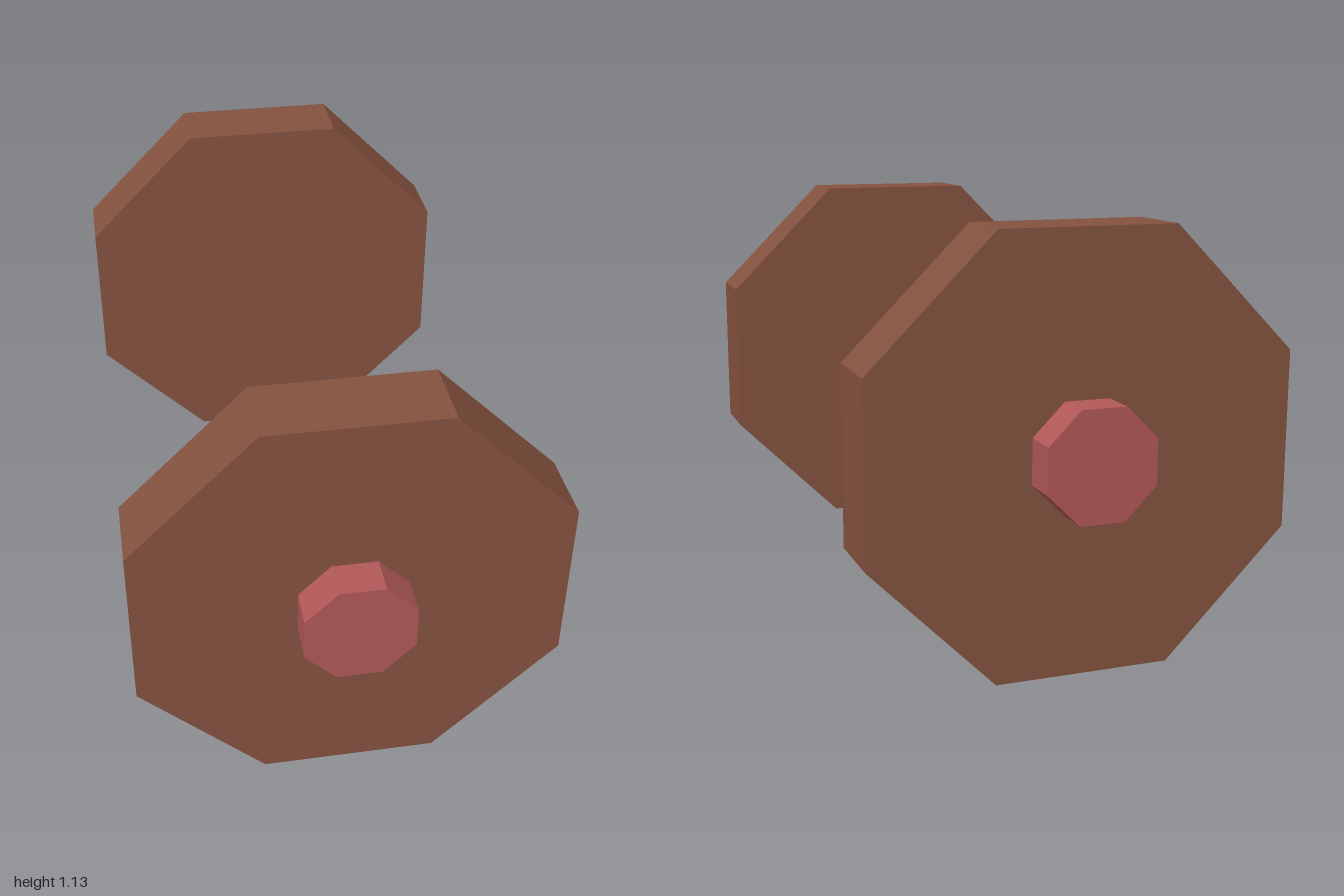
import * as THREE from 'three';

// Upright octagonal disc with flat-shaded sides; halfWidth is measured across the flats
function octagon(name, halfWidth, depth, material) {
  const radius = halfWidth / Math.cos(Math.PI / 8);
  const indexed = new THREE.CylinderGeometry(radius, radius, depth, 8, 1, false, Math.PI / 8);
  indexed.rotateX(Math.PI / 2);
  const geometry = indexed.toNonIndexed();
  geometry.computeVertexNormals();
  const mesh = new THREE.Mesh(geometry, material);
  mesh.name = name;
  return mesh;
}

export function createModel() {
  const wood = new THREE.MeshStandardMaterial({ color: 0x84523f });
  wood.name = 'brown wood';
  const red = new THREE.MeshStandardMaterial({ color: 0xb35858 });
  red.name = 'dusty red';

  const model = new THREE.Group();
  model.name = 'wheelPair';

  // Two wheels facing outward, each with a hub cap on its outer face
  for (const [name, side] of [['frontWheel', 1], ['backWheel', -1]]) {
    const wheel = new THREE.Group();
    wheel.name = name;
    const disc = octagon('disc', 0.564, 0.2, wood);
    const hub = octagon('hub', 0.143, 0.1, red);
    hub.position.z = side * 0.15;
    wheel.add(disc, hub);
    wheel.position.set(0, 0.564, side * 0.8);
    model.add(wheel);
  }
  return model;
}
